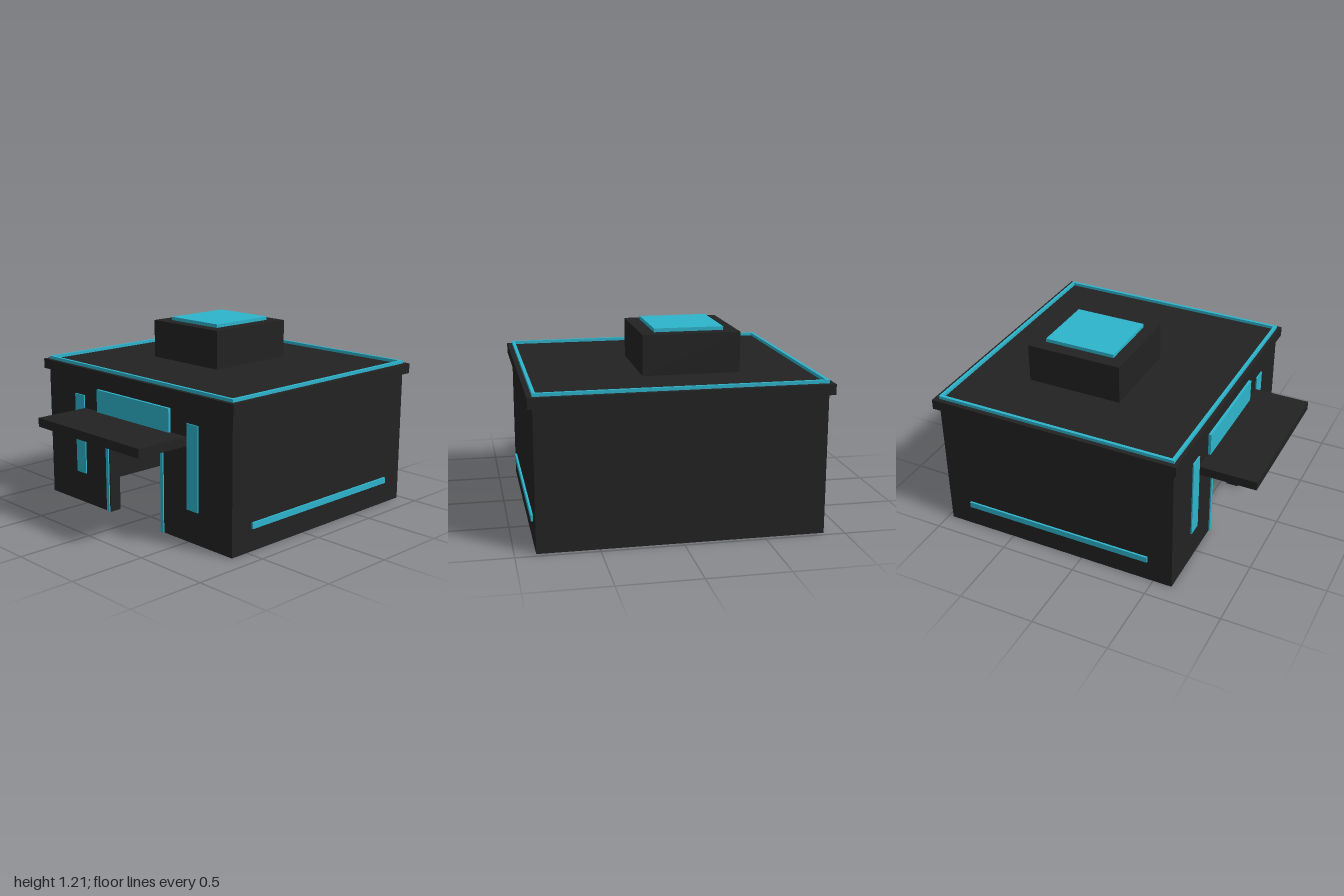
import * as THREE from 'three';

const dark = new THREE.MeshStandardMaterial({ color: 0x222222 });
dark.name = 'charcoal';
const cyan = new THREE.MeshStandardMaterial({ color: 0x2db4cc });
cyan.name = 'cyan';

// Box given by its limits on each axis
function block(name, material, [x0, x1], [y0, y1], [z0, z1]) {
  const mesh = new THREE.Mesh(new THREE.BoxGeometry(x1 - x0, y1 - y0, z1 - z0), material);
  mesh.position.set((x0 + x1) / 2, (y0 + y1) / 2, (z0 + z1) / 2);
  mesh.name = name;
  return mesh;
}

function polygon(points) {
  return new THREE.Shape(points.map(([x, y]) => new THREE.Vector2(x, y)));
}

function extrude(name, material, shape, depth) {
  const mesh = new THREE.Mesh(
    new THREE.ExtrudeGeometry(shape, { depth, bevelEnabled: false }), material);
  mesh.name = name;
  return mesh;
}

// Upside-down U outline standing on y = 0
function arch(outerX, outerY, innerX, innerY) {
  return polygon([[-outerX, 0], [-innerX, 0], [-innerX, innerY], [innerX, innerY],
    [innerX, 0], [outerX, 0], [outerX, outerY], [-outerX, outerY]]);
}

export function createModel() {
  const model = new THREE.Group();
  model.name = 'building';

  const W = 0.874, front = 0.625, back = -0.968, wall = 0.08;
  const wallTop = 0.87, roofTop = 0.935;

  // Hollow shell, open underneath, with a doorway in the front
  const frontWall = extrude('frontWall', dark, arch(W, wallTop, 0.247, 0.525), wall);
  frontWall.position.z = front - wall;
  model.add(frontWall);
  model.add(block('backWall', dark, [-W, W], [0, wallTop], [back, back + wall]));
  for (const s of [-1, 1]) {
    const xs = s < 0 ? [-W, -W + wall] : [W - wall, W];
    model.add(block('sideWall', dark, xs, [0, wallTop], [back + wall, front - wall]));
  }

  // Overhanging roof slab
  model.add(block('roof', dark, [-0.905, 0.905], [wallTop, roofTop], [-1, 0.65]));

  // Raised line around the roof
  const t = 0.02;
  const ring = polygon([[-W, -front], [W, -front], [W, -back], [-W, -back]]);
  ring.holes.push(polygon([[-W + t, -front + t], [-W + t, -back - t],
    [W - t, -back - t], [W - t, -front + t]]));
  const roofTrim = extrude('roofTrim', cyan, ring, 0.02);
  roofTrim.rotation.x = -Math.PI / 2;
  roofTrim.position.y = roofTop;
  model.add(roofTrim);

  // Rooftop housing and its skylight
  model.add(block('roofHousing', dark, [-0.437, 0.17], [roofTop, 1.187], [-0.57, 0.063]));
  model.add(block('skylight', cyan, [-0.35, 0.084], [1.187, 1.21], [-0.49, -0.018]));

  // Entrance: canopy, panel behind it and door frame
  model.add(block('canopy', dark, [-0.49, 0.49], [0.602, 0.66], [front, 1]));
  model.add(block('entrancePanel', cyan, [-0.347, 0.347], [0.586, 0.81], [front, 0.643]));
  const doorFrame = extrude('doorFrame', cyan, arch(0.28, 0.555, 0.255, 0.53), 0.008);
  doorFrame.position.z = front;
  model.add(doorFrame);

  // Tall front windows and low side strips, mirrored
  for (const s of [-1, 1]) {
    const span = (a, b) => (s < 0 ? [-b, -a] : [a, b]);
    model.add(block('frontWindow', cyan, span(0.495, 0.59), [0.207, 0.745], [front, 0.633]));
    model.add(block('sideStrip', cyan, span(W, 0.887), [0.143, 0.182], [-0.81, 0.462]));
  }

  return model;
}
